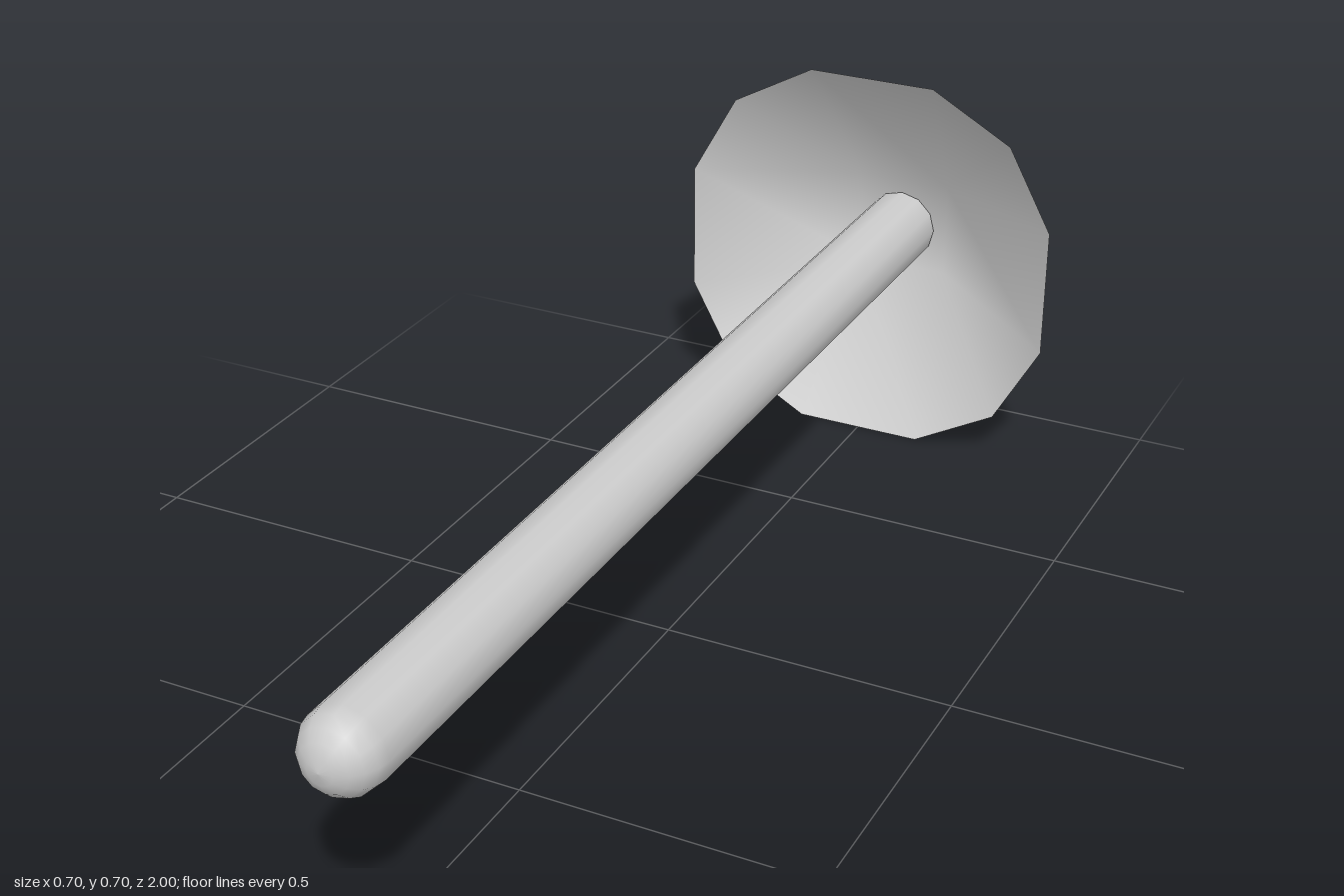
import * as THREE from 'three';

const AXIS_Y = 0.35;

// Shallow hollow cap: a 3x3 grid with its rim rounded and its middle pushed back
function capGeometry() {
  const geo = new THREE.PlaneGeometry(3, 3, 3, 3);
  const pos = geo.attributes.position;
  for (let i = 0; i < pos.count; i++) {
    const x = pos.getX(i), y = pos.getY(i);
    const outerX = Math.abs(x) > 1, outerY = Math.abs(y) > 1;
    const place = (outer, other) => (outer ? (other ? 0.267 : 0.35) : (other ? 0.117 : 0.087));
    const inner = !outerX && !outerY;
    pos.setXYZ(i, Math.sign(x) * place(outerX, outerY), Math.sign(y) * place(outerY, outerX), inner ? 0.19 : 0);
  }
  // Corner quads are split from the middle out to the rim
  const index = [];
  for (let r = 0; r < 3; r++) {
    for (let c = 0; c < 3; c++) {
      const a = r * 4 + c, b = a + 4, d = a + 1, e = b + 1;
      if (r === c) index.push(a, b, e, a, e, d);
      else index.push(a, b, d, b, e, d);
    }
  }
  geo.setIndex(index);
  geo.rotateY(Math.PI);
  geo.computeVertexNormals();
  return geo;
}

// Twelve-sided rod with a rounded front end
function rodGeometry() {
  const r = 0.067, profile = [new THREE.Vector2(r, -0.99)];
  const steps = 5;
  for (let i = 0; i <= steps; i++) {
    const t = (i / steps) * Math.PI / 2;
    profile.push(new THREE.Vector2(i === steps ? 0 : r * Math.cos(t), 1 - r + r * Math.sin(t)));
  }
  return new THREE.LatheGeometry(profile, 12).rotateX(Math.PI / 2);
}

export function createModel() {
  const group = new THREE.Group();
  const material = new THREE.MeshStandardMaterial({ color: 0xcccccc, side: THREE.DoubleSide });

  const cap = new THREE.Mesh(capGeometry(), material);
  cap.name = 'cap';
  cap.position.set(0, AXIS_Y, -0.81);

  const rod = new THREE.Mesh(rodGeometry(), material);
  rod.name = 'rod';
  rod.position.y = AXIS_Y;

  group.add(cap, rod);
  return group;
}
